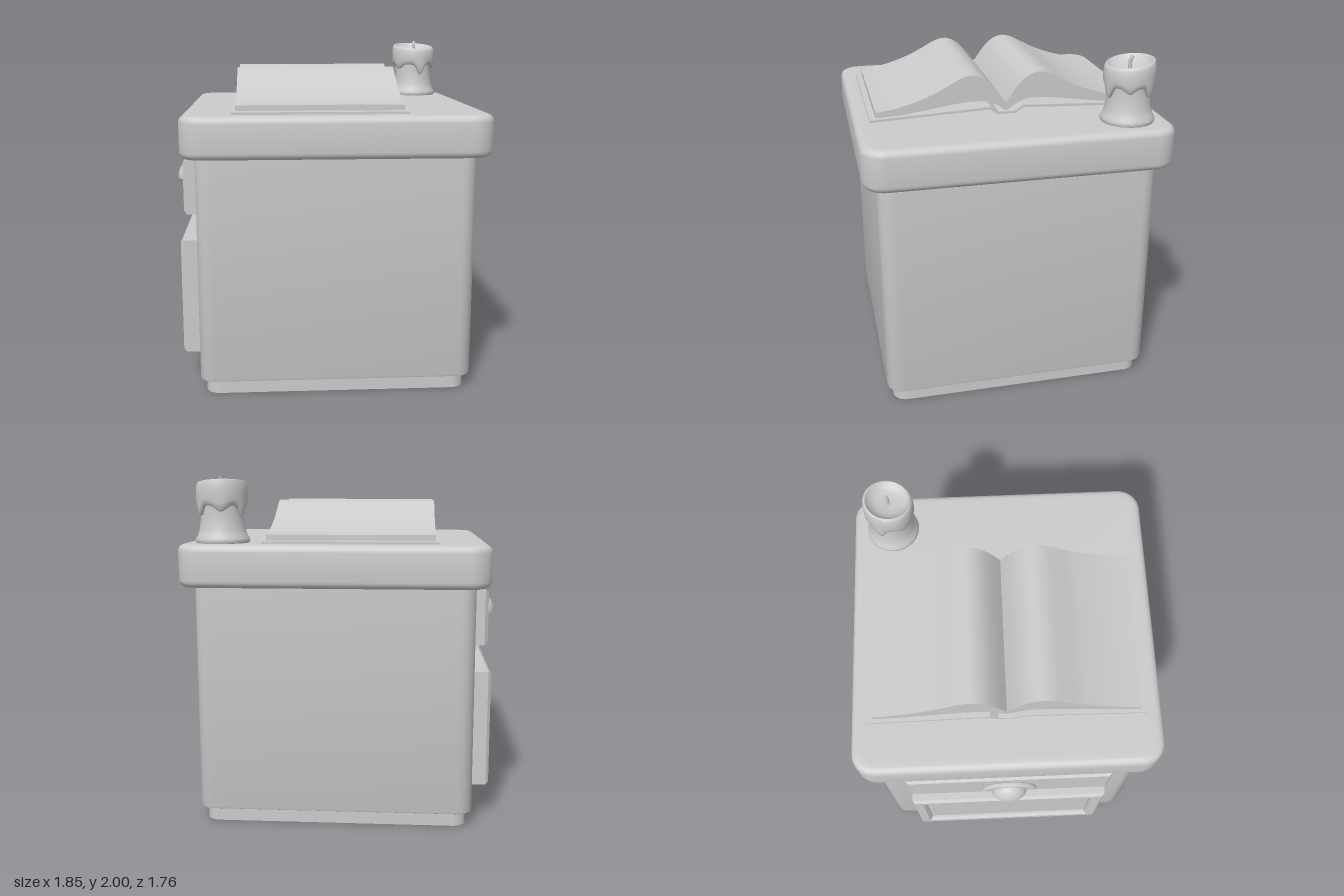
import * as THREE from 'three';
import { toCreasedNormals } from 'three/addons/utils/BufferGeometryUtils.js';

const CX = 0.0425; // cabinet centre in x
const grey = new THREE.MeshStandardMaterial({ color: 0xcccccc, side: THREE.DoubleSide });

function part(name, geometry, parent, crease = 0.6) {
  const mesh = new THREE.Mesh(crease ? toCreasedNormals(geometry, crease) : geometry, grey);
  mesh.name = name;
  parent.add(mesh);
  return mesh;
}

// Skin over stacked rounded rectangles, each given as [halfX, halfZ, cornerRadius, y]
function loft(rings, seg = 8) {
  const pos = [], index = [], n = 4 * (seg + 1);
  for (const [w, d, r, y] of rings) {
    for (let q = 0; q < 4; q++) {
      const sx = q === 0 || q === 3 ? 1 : -1, sz = q < 2 ? 1 : -1;
      for (let i = 0; i <= seg; i++) {
        const a = (q + i / seg) * Math.PI / 2;
        pos.push(CX + sx * (w - r) + r * Math.cos(a), y, sz * (d - r) + r * Math.sin(a));
      }
    }
  }
  for (let k = 0; k < rings.length - 1; k++) {
    for (let i = 0; i < n; i++) {
      const a = k * n + i, b = k * n + (i + 1) % n;
      index.push(a, a + n, b + n, a, b + n, b);
    }
  }
  const g = new THREE.BufferGeometry();
  g.setAttribute('position', new THREE.Float32BufferAttribute(pos, 3));
  g.setIndex(index);
  return g;
}

function rect(path, z, y0, y1) {
  path.moveTo(-z, y0);
  path.lineTo(z, y0);
  path.lineTo(z, y1);
  path.lineTo(-z, y1);
  path.closePath();
  return path;
}

// Extrude a (z, y) outline along x, between x0 and the lower x1
function extrudeX(shape, x0, x1, bevel = 0) {
  const g = new THREE.ExtrudeGeometry(shape, {
    depth: x0 - x1 - 2 * bevel, bevelEnabled: bevel > 0, bevelSize: bevel,
    bevelThickness: bevel, bevelOffset: -bevel, bevelSegments: 1, curveSegments: 24,
  });
  return g.translate(0, 0, bevel).rotateY(-Math.PI / 2).translate(x0, 0, 0);
}

function buildCabinet(group) {
  // Hollow body on a slightly narrower plinth, open underneath
  part('plinth', loft([[0.7625, 0.765, 0.08, 0], [0.7625, 0.765, 0.08, 0.085]]), group);
  part('body', loft([
    [0.7625, 0.765, 0.08, 0.08], [0.785, 0.787, 0.08, 0.08], [0.794, 0.796, 0.085, 0.084],
    [0.7975, 0.8, 0.09, 0.095], [0.7975, 0.8, 0.09, 1.4],
  ]), group);

  // Top slab with rounded edges
  const W = 0.8775, D = 0.88, R = 0.13, e = 0.04, y0 = 1.39, y1 = 1.63;
  const rings = [[0, 0, 0, y0], [W - 0.07, D - 0.07, R - 0.07, y0]];
  for (const [start, yc] of [[-90, y0 + e], [0, y1 - e]]) {
    for (let i = 0; i <= 5; i++) {
      const a = THREE.MathUtils.degToRad(start + i * 18), inset = e * (1 - Math.cos(a));
      rings.push([W - inset, D - inset, R - inset, yc + e * Math.sin(a)]);
    }
  }
  rings.push([W - 0.07, D - 0.07, R - 0.07, y1], [0, 0, 0, y1]);
  part('tableTop', loft(rings), group);
}

function buildFronts(group) {
  // Drawer front
  part('drawerFront', extrudeX(rect(new THREE.Shape(), 0.61, 1.04, 1.36), -0.73, -0.835, 0.02), group, 0.3);

  // Framed door with a recessed panel
  const frame = rect(new THREE.Shape(), 0.61, 0.2, 0.885);
  frame.holes.push(rect(new THREE.Path(), 0.53, 0.28, 0.805));
  part('doorFrame', extrudeX(frame, -0.7, -0.86, 0.017), group, 0.3);
  part('doorPanel', extrudeX(rect(new THREE.Shape(), 0.56, 0.25, 0.835), -0.74, -0.83), group, 0.3);

  // Cup pull: half-round plate and a quarter dome open underneath
  const plate = new THREE.Shape();
  plate.absellipse(0, 1.155, 0.165, 0.135, 0, Math.PI, false);
  plate.closePath();
  part('handlePlate', extrudeX(plate, -0.83, -0.858, 0.008), group, 0.5);
  const cup = new THREE.SphereGeometry(1, 20, 12, -Math.PI / 2, Math.PI, 0, Math.PI / 2);
  cup.scale(0.075, 0.105, 0.105).translate(-0.85, 1.155, 0);
  part('handleCup', cup, group, 0);
}

function buildBook(group) {
  const book = new THREE.Group();
  book.name = 'openBook';
  book.position.x = -0.05;
  group.add(book);
  const v = (pts) => pts.map(([z, y]) => new THREE.Vector2(z, y));

  // One curved block of pages, turned round for the other side
  const pages = new THREE.Shape();
  pages.moveTo(0, 1.69);
  pages.splineThru(v([[0.05, 1.763], [0.1, 1.82], [0.15, 1.853], [0.2, 1.864], [0.26, 1.851],
    [0.34, 1.81], [0.43, 1.765], [0.55, 1.722], [0.66, 1.695], [0.755, 1.682]]));
  pages.lineTo(0.755, 1.65);
  pages.splineThru(v([[0.6, 1.66], [0.45, 1.68], [0.3, 1.702], [0.2, 1.71], [0.11, 1.704], [0.05, 1.677], [0, 1.642]]));
  pages.closePath();

  // Thin cover board reaching from the spine to the outer edge
  const cover = new THREE.Shape(v([[0, 1.632], [0.055, 1.632], [0.1, 1.663], [0.79, 1.632],
    [0.79, 1.646], [0.095, 1.678], [0.048, 1.645], [0, 1.645]]));

  ['Front', 'Back'].forEach((side, i) => {
    part('pages' + side, extrudeX(pages, 0.4725, -0.4725), book, 0.5).rotation.y = i * Math.PI;
    part('cover' + side, extrudeX(cover, 0.495, -0.495), book, 0.3).rotation.y = i * Math.PI;
  });
}

function buildCandle(group) {
  const candle = new THREE.Group();
  candle.name = 'candle';
  candle.position.set(0.69, 1.63, -0.64);
  group.add(candle);
  const v = (pts) => pts.map(([r, y]) => new THREE.Vector2(r, y));

  // Stem flaring into a pool of wax
  part('candleStem', new THREE.LatheGeometry(v([[0, 0], [0.15, 0], [0.155, 0.01], [0.153, 0.025],
    [0.14, 0.045], [0.13, 0.08], [0.123, 0.13], [0.12, 0.18], [0.122, 0.26]]), 40), candle, 0.8);

  // Melted collar: lower edge runs down in drips, rim tilts up to the back
  const collar = new THREE.LatheGeometry(v([[0.115, 0.2], [0.132, 0.198], [0.142, 0.21], [0.146, 0.235],
    [0.146, 0.28], [0.143, 0.32], [0.137, 0.337], [0.127, 0.341], [0.118, 0.333], [0.108, 0.316],
    [0.07, 0.304], [0, 0.3]]), 72);
  const p = collar.attributes.position;
  const drips = [[0.25, 0.07, 0.22], [1.25, 0.03, 0.25], [2.2, 0.06, 0.2], [3.3, 0.035, 0.3], [4.3, 0.07, 0.22], [5.3, 0.03, 0.25]];
  for (let i = 0; i < p.count; i++) {
    const x = p.getX(i), y = p.getY(i), z = p.getZ(i);
    const a = Math.atan2(x, z);
    let drop = -0.015;
    for (const [at, depth, width] of drips) {
      const d = Math.atan2(Math.sin(a - at), Math.cos(a - at)) / width;
      drop += depth * Math.exp(-d * d);
    }
    const low = THREE.MathUtils.clamp((0.28 - y) / 0.07, 0, 1);
    const high = THREE.MathUtils.clamp((y - 0.22) / 0.1, 0, 1);
    p.setY(i, y - drop * low - (0.13 * z + 0.04 * x) * high);
  }
  part('meltedWax', collar, candle, 0.9);

  // Wick
  const wick = new THREE.CatmullRomCurve3([[0, 0.29, 0], [0.002, 0.33, 0.002], [0.004, 0.352, 0], [0.006, 0.368, -0.008]]
    .map((c) => new THREE.Vector3(...c)));
  part('wick', new THREE.TubeGeometry(wick, 10, 0.011, 8), candle, 0);
  const tip = part('wickTip', new THREE.SphereGeometry(0.011, 8, 6), candle, 0);
  tip.scale.y = 0.4;
  tip.position.set(0.006, 0.366, -0.008);
}

export function createModel() {
  const group = new THREE.Group();
  group.name = 'bedsideCabinet';
  buildCabinet(group);
  buildFronts(group);
  buildBook(group);
  buildCandle(group);
  return group;
}
